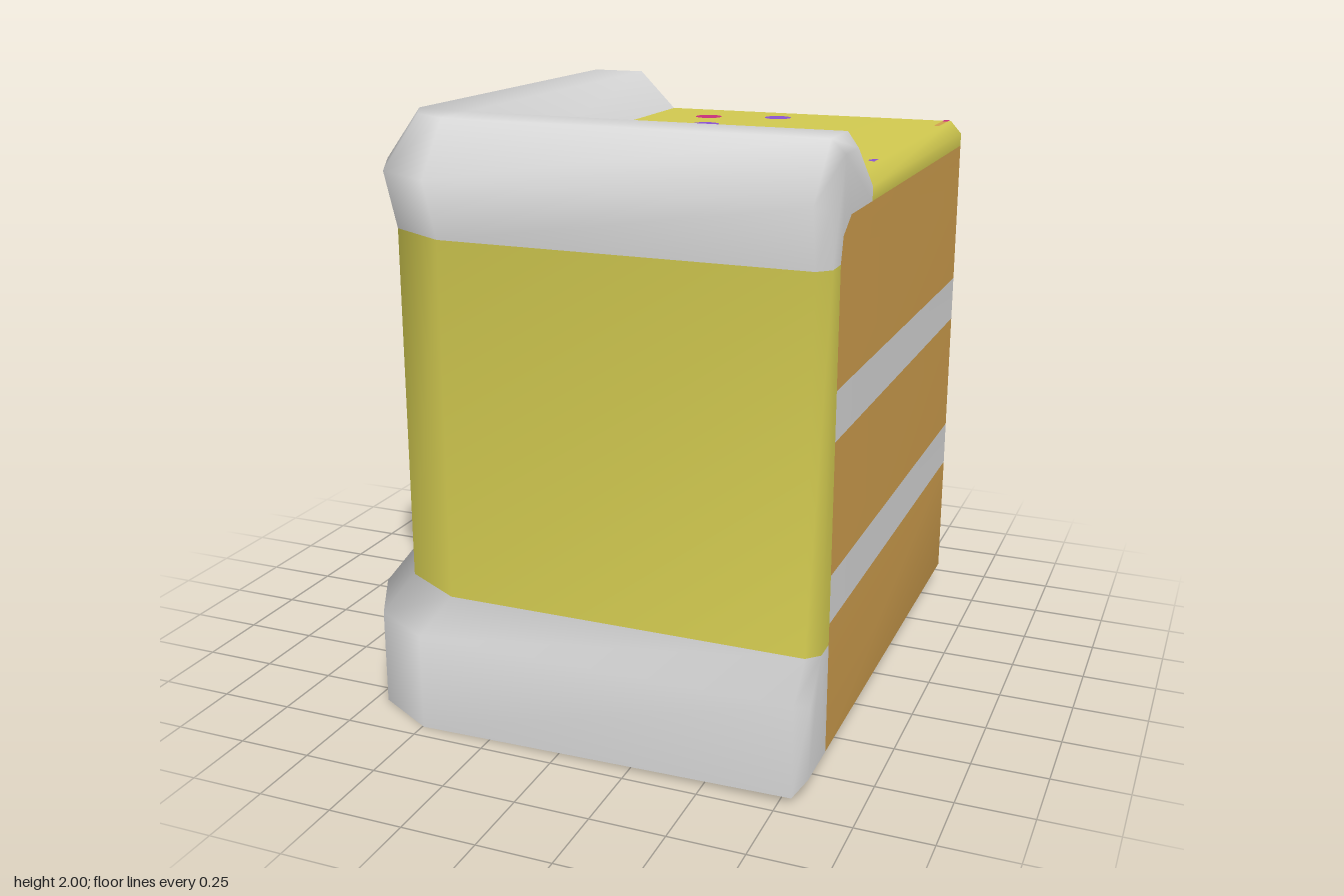
import * as THREE from 'three';

const mat = (name, color) => {
  const m = new THREE.MeshStandardMaterial({ color });
  m.name = name;
  return m;
};

export function createModel() {
  const cream = mat('cream', 0xd8d8d8);
  const icing = mat('yellowIcing', 0xd2ca50);
  const sponge = mat('sponge', 0xd09f4e);
  const purple = mat('purpleSprinkle', 0x8a52d0);
  const pink = mat('pinkSprinkle', 0xc8307a);
  const group = new THREE.Group();
  group.name = 'cakeSlice';

  // Shared vertex pool: parts with the same smoothing tag blend their normals
  const verts = [], lookup = new Map(), parts = new Map();
  const vertex = (p, tag) => {
    const key = tag + p.map((v) => Math.round(v * 1e4)).join(',');
    if (!lookup.has(key)) {
      lookup.set(key, verts.length);
      verts.push(p);
    }
    return lookup.get(key);
  };
  // Fan of triangles from the first corner; corners run counter-clockwise
  const face = (name, material, corners, tag = 'shell') => {
    if (!parts.has(name)) parts.set(name, { material, index: [] });
    const ids = corners.map((p) => vertex(p, tag));
    for (let i = 1; i < ids.length - 1; i++) {
      const t = [ids[0], ids[i], ids[i + 1]];
      if (new Set(t).size === 3) parts.get(name).index.push(...t);
    }
  };

  // Frosting profile: xo / zo = outward reach on the -x and +z sides, k = corner size,
  // dOut / dy = inset of the bevelled ends
  const profile = [
    { xo: 0.65, zo: 0.72, y: 0, k: 0.8, dOut: 0, dy: 0.05 },
    { xo: 0.835, zo: 0.945, y: 0, k: 1, dOut: -0.04, dy: 0.05 },
    { xo: 0.835, zo: 0.945, y: 0.33, k: 1, dOut: -0.04, dy: -0.015 },
    { xo: 0.77, zo: 0.84, y: 0.44, k: 1, dOut: -0.04, dy: 0 },
    { xo: 0.77, zo: 0.84, y: 1.64, k: 1, dOut: -0.04, dy: 0 },
    { xo: 0.79, zo: 0.88, y: 1.83, k: 1, dOut: -0.04, dy: -0.02 },
    { xo: 0.67, zo: 0.72, y: 2, k: 0.6, dOut: -0.02, dy: -0.045 },
    { xo: 0.47, zo: 0.545, y: 2, k: 0, dOut: 0.02, dy: -0.045 },
    { xo: 0.33, zo: 0.385, y: 1.86, k: 0, dOut: 0, dy: -0.045 },
  ];
  // Stations run from the +x cut, round the front corner, to the -z cut
  const at = (i, s) => {
    const { xo, zo, y, k, dOut, dy } = profile[i];
    const ye = i < 2 ? 0.02 : y;
    return [
      [0.83, ye + dy, zo + dOut],
      [0.79, ye, zo],
      [-xo + 0.34 * k, y, zo],
      [-xo + 0.13 * k, y, zo - 0.12 * k],
      [-xo, y, zo - 0.36 * k],
      [-xo, ye, -0.9],
      [-xo - dOut, ye + dy, -0.94],
    ][s];
  };
  const bands = [
    ['bottomPipingUnderside', cream, 'under'], ['bottomPiping', cream], ['bottomPiping', cream],
    ['sideIcing', icing],
    ['topPiping', cream], ['topPiping', cream], ['topPiping', cream], ['topPiping', cream],
  ];
  bands.forEach(([name, material, tag], i) => {
    for (let s = 0; s < 6; s++) {
      face(name, material, [at(i, s + 1), at(i, s), at(i + 1, s), at(i + 1, s + 1)], tag);
    }
  });

  // Frosting cross-sections on the two cut faces
  for (const s of [0, 6]) {
    const e = s === 0 ? 0.72 : 0.65;
    const cut = (w, y) => (s === 0 ? [0.83, y, w] : [-w, y, -0.94]);
    const p = (i) => at(i, s);
    const inner = s === 0 ? p(8)[2] : -p(8)[0];
    const section = (name, material, pts) => face(name, material, s === 0 ? pts.reverse() : pts);
    section('bottomPipingEnd', cream, [cut(e, 0.44), p(0), p(1), p(2), p(3)]);
    section('sideIcingEnd', icing, [cut(e, 0.44), p(3), p(4), cut(e, 1.64)]);
    // Keep the fan starting at the same corner after reversing
    const top = [p(7), p(8), cut(inner, 1.77), cut(e - 0.1, 1.77), cut(e - 0.02, 1.72),
      cut(e, 1.64), p(4), p(5)];
    face('topPipingEnd', cream, [p(6), ...(s === 0 ? top.reverse() : top)]);
  }

  // Sponge layers and cream fillings wrapped round the cut corner
  const wall = (y, zEnd, xEnd) => [[0.83, y, zEnd], [0.83, y, -0.9], [0.79, y, -0.94], [xEnd, y, -0.94]];
  const strip = (name, material, lower, upper, tag) => {
    for (let j = 0; j < lower.length - 1; j++) {
      face(name, material, [lower[j], lower[j + 1], upper[j + 1], upper[j]], tag);
    }
  };
  const levels = [
    [0.07, 0, 'lowerSponge', sponge], [0.51, 0, 'lowerFilling', cream],
    [0.67, 0, 'middleSponge', sponge], [1.1, 0, 'upperFilling', cream],
    [1.26, 0, 'upperSponge', sponge], [1.64, 0, 'upperSponge', sponge],
    [1.72, 0.02, 'upperSponge', sponge], [1.77, 0.1],
  ];
  for (let i = 0; i < levels.length - 1; i++) {
    const [[y0, d0, name, material], [y1, d1]] = [levels[i], levels[i + 1]];
    strip(name, material, wall(y0, 0.72 - d0, -0.65 + d0), wall(y1, 0.72 - d1, -0.65 + d1));
  }
  const heel = [0.79, 0.02, -0.9];
  strip('lowerSponge', sponge, [[0.79, 0.02, 0.72], heel, heel, [-0.65, 0.02, -0.9]], wall(0.07, 0.72, -0.65));

  // Icing on top with its bevelled cut edge
  const corner = [0.79, 1.86, -0.9];
  const rim = [[0.79, 1.86, 0.385], corner, corner, [-0.33, 1.86, -0.9]];
  strip('topIcing', icing, wall(1.77, 0.385, -0.33), wall(1.815, 0.385, -0.33), 'top');
  strip('topIcing', icing, wall(1.815, 0.385, -0.33), rim, 'top');
  face('topIcing', icing, [rim[0], corner, rim[3], [-0.33, 1.86, 0.385]], 'top');

  // Underside
  face('base', icing, [heel, ...[1, 2, 3, 4, 5].map((s) => at(0, s))], 'under');

  // Area-weighted normals over the whole shell, then one mesh per part
  const shell = new THREE.BufferGeometry();
  shell.setAttribute('position', new THREE.Float32BufferAttribute(verts.flat(), 3));
  shell.setIndex([...parts.values()].flatMap((p) => p.index));
  shell.computeVertexNormals();
  for (const [name, { material, index }] of parts) {
    const part = shell.clone();
    part.setIndex(index);
    const mesh = new THREE.Mesh(part.toNonIndexed(), material);
    mesh.name = name;
    group.add(mesh);
  }

  // Round sprinkles lying on the top icing
  const sprinkle = (name, material, x, z, lift, geometry) => {
    const mesh = new THREE.Mesh(geometry, material);
    mesh.name = name;
    mesh.rotation.x = -Math.PI / 2;
    mesh.position.set(x, 1.86 + lift, z);
    group.add(mesh);
  };
  const dot = new THREE.CircleGeometry(0.05, 20);
  for (const [x, z] of [[0.16, -0.735], [-0.03, -0.46], [0.495, -0.07], [-0.13, 0.23], [0.38, 0.23]]) {
    sprinkle('purpleSprinkle', purple, x, z, 0.003, dot);
  }
  for (const [x, z] of [[-0.09, -0.655], [0.505, -0.005]]) sprinkle('pinkSprinkle', pink, x, z, 0.005, dot);
  for (const [x, z] of [[0.33, -0.255], [-0.17, -0.07]]) sprinkle('orangeSprinkle', sponge, x, z, 0.003, dot);

  // Sprinkles cut off at the edge
  sprinkle('cutPurpleSprinkle', purple, 0.785, 0.18, 0.003, new THREE.CircleGeometry(0.025, 12, Math.PI / 2, Math.PI));
  sprinkle('cutPinkSprinkle', pink, 0.775, -0.88, 0.003, new THREE.PlaneGeometry(0.02, 0.04));
  sprinkle('cutOrangeSprinkle', sponge, 0.775, -0.79, 0.003, new THREE.PlaneGeometry(0.02, 0.14));
  return group;
}
